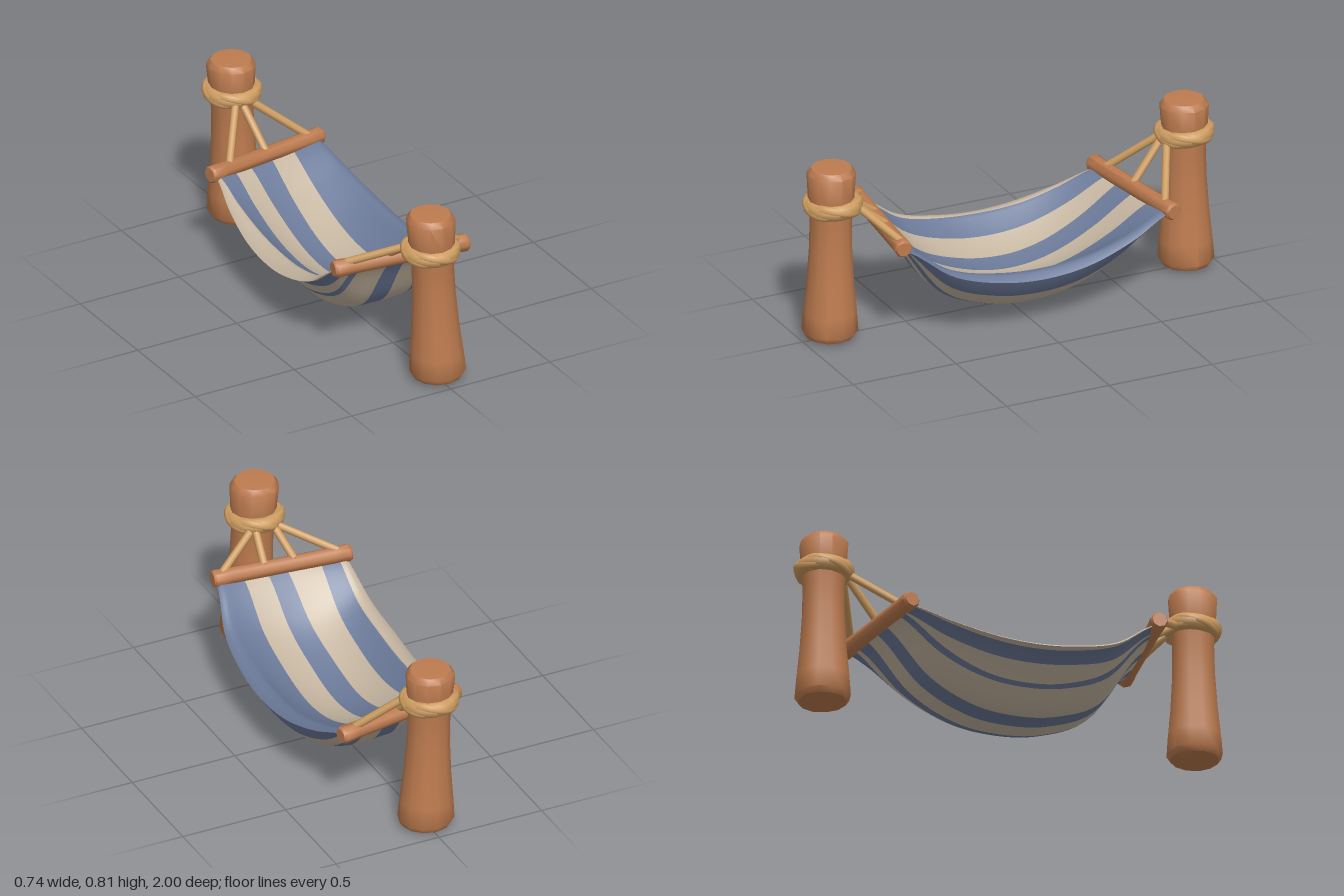
import * as THREE from 'three';
import { toCreasedNormals } from 'three/addons/utils/BufferGeometryUtils.js';

const V = (x, y, z) => new THREE.Vector3(x, y, z);
const mat = (name, color) => {
  const m = new THREE.MeshStandardMaterial({ color });
  m.name = name;
  return m;
};
const { lerp, smoothstep } = THREE.MathUtils;

export function createModel() {
  const group = new THREE.Group();
  group.name = 'hammock';
  const wood = mat('wood', 0xbd7b4f);
  const rope = mat('rope', 0xcd9c60);
  const blue = mat('blueCloth', 0x6b7a99);
  const beige = mat('beigeCloth', 0xc4b5a0);

  const add = (name, geometry, material) => {
    const mesh = new THREE.Mesh(geometry, material);
    mesh.name = name;
    group.add(mesh);
    return mesh;
  };

  // Turned log with an uneven, hand-carved outline
  const log = (profile, sides, phase, rough, leanX = 0, leanZ = 0) => {
    const g = new THREE.LatheGeometry(profile.map(([r, y]) => new THREE.Vector2(r, y)), sides);
    const p = g.attributes.position;
    for (let i = 0; i < p.count; i++) {
      const x = p.getX(i), y = p.getY(i), z = p.getZ(i);
      const a = Math.atan2(z, x);
      const k = 1 + rough * (Math.sin(3 * a + phase + y * 2) + 0.6 * Math.sin(5 * a - phase * 2));
      p.setXYZ(i, x * k + leanX * (y - 0.4), y, z * k + leanZ * (y - 0.4));
    }
    return toCreasedNormals(g, 0.85);
  };

  // Lay a y-axis geometry from a to b
  const between = (mesh, a, b) => {
    mesh.position.copy(a).lerp(b, 0.5);
    mesh.quaternion.setFromUnitVectors(V(0, 1, 0), b.clone().sub(a).normalize());
  };

  // Posts, flared at the foot and chamfered at the top
  const post = (name, x, z, base, top, leanX, leanZ, phase) => {
    const g = log([[0, base - 0.012], [0.108, base], [0.125, base + 0.025], [0.118, 0.13], [0.105, 0.26],
      [0.095, 0.42], [0.093, 0.55], [0.102, 0.66], [0.109, top - 0.03], [0.09, top - 0.005], [0, top]],
    12, phase, 0.012, leanX, leanZ);
    add(name, g, wood).position.set(x, 0, z);
  };
  post('frontPost', -0.005, 0.862, 0.015, 0.808, -0.03, -0.025, 0.4);
  post('backPost', -0.012, -0.866, 0.012, 0.79, -0.03, 0, 2.1);

  // Rope collars: a thick core wrapped by two twisted strands
  const collar = (name, x, y, z, tilt) => {
    const core = new THREE.TorusGeometry(0.1, 0.033, 10, 32).rotateX(Math.PI / 2).scale(1, 1.1, 1);
    const parts = [add(name + 'Core', core, rope)];
    for (let s = 0; s < 2; s++) {
      const pts = [];
      for (let i = 0; i < 48; i++) {
        const a = i / 48 * Math.PI * 2, w = a * 2 + s * Math.PI;
        const r = 0.108 + 0.006 * Math.cos(w);
        pts.push(V(r * Math.cos(a), 0.015 * Math.sin(w), r * Math.sin(a)));
      }
      const curve = new THREE.CatmullRomCurve3(pts, true);
      parts.push(add(name + 'Strand' + (s + 1), new THREE.TubeGeometry(curve, 72, 0.022, 8, true), rope));
    }
    for (const mesh of parts) {
      mesh.position.set(x, y, z);
      mesh.rotation.x = tilt;
    }
  };
  collar('frontCollar', -0.015, 0.627, 0.848, 0.03);
  collar('backCollar', -0.02, 0.632, -0.866, 0.05);

  // Spreader bars
  const bar = (name, a, b, phase) => {
    const h = a.distanceTo(b) / 2;
    const g = log([[0, -h], [0.033, -h], [0.041, -h + 0.012], [0.038, -h + 0.08], [0.037, 0],
      [0.038, h - 0.08], [0.041, h - 0.012], [0.033, h], [0, h]], 8, phase, 0.015);
    between(add(name, g, wood), a, b);
  };
  const frontBar = [V(-0.35, 0.492, 0.578), V(0.29, 0.49, 0.648)];
  const backBar = [V(-0.31, 0.425, -0.56), V(0.31, 0.415, -0.658)];
  bar('frontSpreader', ...frontBar, 0.5);
  bar('backSpreader', ...backBar, 1.7);

  // Ropes from each collar to its spreader: [collar x, collar z, bar x]
  const lines = (name, ends, y, rows) => rows.forEach(([x, z, bx], i) => {
    const b = ends[0].clone().lerp(ends[1], (bx - ends[0].x) / (ends[1].x - ends[0].x));
    b.y += 0.022;
    const a = V(x, y, z);
    between(add(name + (i + 1), new THREE.CylinderGeometry(0.018, 0.018, a.distanceTo(b), 8), rope), a, b);
  });
  lines('frontRope', frontBar, 0.61,
    [[-0.08, 0.745, -0.29], [-0.06, 0.745, -0.09], [0.03, 0.745, 0.05], [0.06, 0.745, 0.245]]);
  lines('backRope', backBar, 0.615,
    [[-0.06, -0.765, -0.2], [-0.03, -0.76, 0.0], [0.01, -0.765, 0.235]]);

  // Cloth outlines: t runs front to back, u runs from the right edge (-x) to the left edge (+x)
  const spline = (...v) => {
    const c = new THREE.SplineCurve(v.map(n => new THREE.Vector2(n, 0)));
    return t => c.getPoint(t).x;
  };
  const edgeA = spline(-0.325, -0.355, -0.373, -0.368, -0.352, -0.322, -0.28);
  const edgeB = spline(0.275, 0.335, 0.362, 0.37, 0.362, 0.333, 0.29);
  const midY = spline(0.46, 0.18, 0.075, 0.047, 0.075, 0.185, 0.405);
  const rimY = spline(0.475, 0.335, 0.272, 0.252, 0.272, 0.33, 0.41);
  const belly = t => Math.sin(Math.PI * t);
  const edgeY = (t, u) => rimY(t) + (1 - u) * 0.02 * belly(t);
  const spot = (t, u, y) => {
    const x = lerp(edgeA(t), edgeB(t), u);
    return V(x, y, lerp(0.612 + 0.108 * x, -0.608 - 0.16 * x, t));
  };

  // Full, flat-bottomed underside
  const under = (t, u) => {
    const w = 2 * u - 1;
    return spot(t, u, lerp(midY(t), edgeY(t, u), w < 0 ? smoothstep(-w, 0.2, 1) : w ** 3));
  };

  // Shallow upper face, with rolled lips that drop outside the crests
  const upper = (t, u) => {
    const k = belly(t), a = 0.03 + 0.08 * k, b = 0.97 - 0.04 * k;
    const crest = edgeY(t, u) + 0.008 + 0.024 * k;
    const out = u < a ? 1 - u / a : u > b ? (u - b) / (1 - b) : 0;
    if (out) return spot(t, u, crest - (0.008 + 0.024 * k) * out * out);
    const v = 2 * (u - a) / (b - a) - 1;
    return spot(t, u, crest - (0.008 + 0.122 * k) * (1 - v * v));
  };

  // One striped face; the breaks between stripes drift from front to middle to back
  const ROWS = 40, COLS = 8;
  const face = (name, surface, up, front, mid, back) => {
    const stripes = mid.length + 1, width = stripes * COLS + 1;
    const pos = [], index = [];
    const g = new THREE.BufferGeometry();
    for (let i = 0; i <= ROWS; i++) {
      const t = i / ROWS, w = Math.abs(2 * t - 1) ** 2.5, end = t < 0.5 ? front : back;
      const cuts = [0, ...mid.map((m, k) => lerp(m, end[k], w)), 1];
      for (let j = 0; j < width; j++) {
        const s = Math.min(Math.floor(j / COLS), stripes - 1);
        pos.push(...surface(t, lerp(cuts[s], cuts[s + 1], j / COLS - s)).toArray());
      }
    }
    for (let s = 0; s < stripes; s++) {
      g.addGroup(index.length, ROWS * COLS * 6, s % 2);
      for (let i = 0; i < ROWS; i++) for (let j = s * COLS; j < (s + 1) * COLS; j++) {
        const a = i * width + j, b = a + 1, c = a + width, d = c + 1;
        index.push(...(up ? [a, b, c, b, d, c] : [a, c, b, b, c, d]));
      }
    }
    g.setAttribute('position', new THREE.Float32BufferAttribute(pos, 3));
    g.setIndex(index);
    g.computeVertexNormals();
    add(name, g, [beige, blue]);
  };
  face('clothTop', upper, true,
    [0.06, 0.2, 0.46, 0.61, 0.8],
    [0.11, 0.235, 0.386, 0.524, 0.7],
    [0.015, 0.17, 0.32, 0.53, 0.74]);
  face('clothUnderside', under, false,
    [0.015, 0.14, 0.155, 0.21, 0.42, 0.55, 0.72, 0.86, 0.9],
    [0.04, 0.12, 0.205, 0.225, 0.38, 0.52, 0.68, 0.76, 0.91],
    [0.015, 0.12, 0.135, 0.2, 0.4, 0.55, 0.7, 0.86, 0.9]);

  return group;
}
